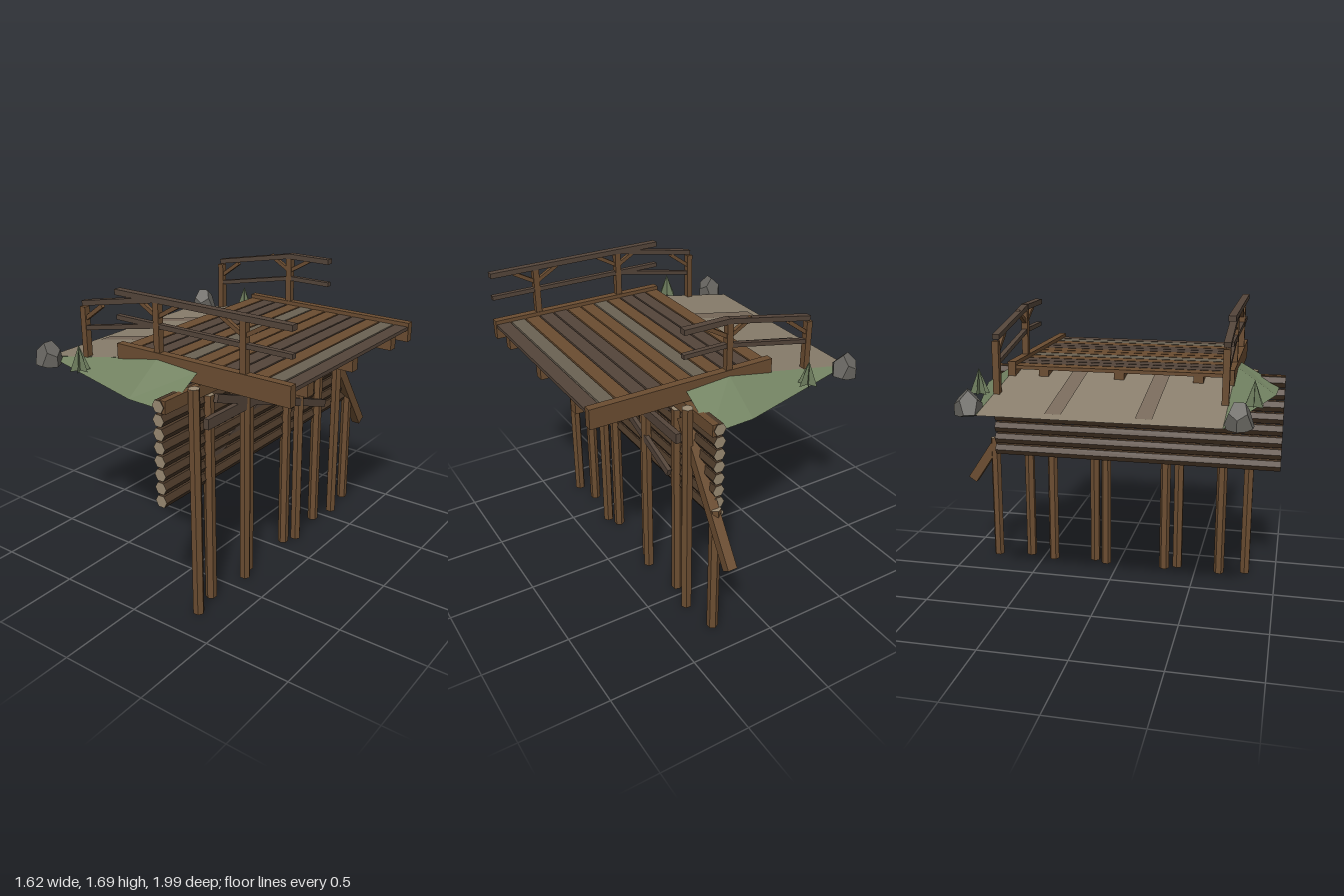
import * as THREE from 'three';

const mat = (color, extra = {}) => new THREE.MeshStandardMaterial({ color, flatShading: true, ...extra });
const sheet = { side: THREE.DoubleSide };
const wood = mat(0x6b4d31), darkWood = mat(0x54453a), shadeWood = mat(0x4a3828), greyWood = mat(0x6b6253);
const cutWood = mat(0x9a8a72), road = mat(0x8b806e, sheet), track = mat(0x7a6b5c);
const grass = mat(0x748463, sheet), stone = mat(0x66645f);

export function createModel() {
  const model = new THREE.Group();
  const add = (parent, name, geometry, material, x = 0, y = 0, z = 0) => {
    const mesh = new THREE.Mesh(geometry, material);
    mesh.name = name;
    mesh.position.set(x, y, z);
    parent.add(mesh);
    return mesh;
  };
  const group = (name) => {
    const g = new THREE.Group();
    g.name = name;
    model.add(g);
    return g;
  };
  const box = (parent, name, w, h, d, x, y, z, material = wood) =>
    add(parent, name, new THREE.BoxGeometry(w, h, d), material, x, y, z);
  // square timber between two points
  const beam = (parent, name, a, b, w, d, material = wood) => {
    const p = new THREE.Vector3(...a), q = new THREE.Vector3(...b);
    const mesh = box(parent, name, w, d, p.distanceTo(q), 0, 0, 0, material);
    mesh.position.copy(p).add(q).multiplyScalar(0.5);
    mesh.lookAt(q);
  };
  const hexLog = (r, length, turn = Math.PI / 6) => new THREE.CylinderGeometry(r, r, length, 6, 1, false, turn);
  const quads = (...corners) => {
    const g = new THREE.BufferGeometry();
    const pos = [];
    for (const [a, b, c, d] of corners) pos.push(...a, ...b, ...c, ...a, ...c, ...d);
    g.setAttribute('position', new THREE.Float32BufferAttribute(pos, 3));
    g.computeVertexNormals();
    return g;
  };

  // embankment, an open sheet: stations of x, road height, shoulder spread
  const midZ = 0.105, halfRoad = 0.625, base = 1.22;
  const stations = [[-0.81, 1.221, 0], [0, 1.372, 0.225], [0.265, 1.355, 0.238]];
  const bank = group('embankment');
  const top = [], slopes = [];
  for (let i = 0; i < 2; i++) {
    const ring = ([x, y, s]) => [
      [x, base, midZ + halfRoad + s], [x, y, midZ + halfRoad],
      [x, y, midZ - halfRoad], [x, base, midZ - halfRoad - s]];
    const a = ring(stations[i]), b = ring(stations[i + 1]);
    slopes.push([a[0], b[0], b[1], a[1]], [a[2], b[2], b[3], a[3]]);
    top.push([a[1], b[1], b[2], a[2]]);
  }
  add(bank, 'roadSurface', quads(...top), road);
  add(bank, 'grassShoulders', quads(...slopes), grass);
  for (const z of [-0.13, 0.335]) {
    const y = (x) => 1.376 + x * 0.186;
    add(bank, 'wheelTrack', quads([[-0.755, y(-0.755), z + 0.043], [0, y(0), z + 0.043],
      [0, y(0), z - 0.043], [-0.755, y(-0.755), z - 0.043]]), track);
  }

  // stacked log retaining wall with a cap beam along the top log
  const wall = group('retainingWall');
  for (let i = 0; i < 8; i++)
    add(wall, 'wallLog' + (i + 1), hexLog(0.036, 1.79).rotateX(Math.PI / 2),
      [shadeWood, cutWood, cutWood], 0.23, 1.25 - i * 0.073, 0.105);
  box(wall, 'capBeam', 0.035, 0.068, 1.78, 0.255, 1.25, 0.105);

  // two rows of piles with bracing
  const piles = group('piles');
  const pile = (x, z, h, turn) =>
    add(piles, 'pile', hexLog(0.032, h, turn), [wood, cutWood, cutWood], x, h / 2, z);
  for (const z of [0.81, 0.38, -0.16, -0.595]) pile(0.3, z, 1.3);
  for (const z of [0.65, 0.3, -0.08, -0.43]) pile(0.262, z, 1.21, 0);
  pile(0.262, -0.81, 0.8, 0);
  box(piles, 'crossBeam', 0.03, 0.058, 1.25, 0.308, 1.083, 0.105, darkWood);
  beam(piles, 'diagonalBrace', [0.312, 1.2, 0.65], [0.312, 0.82, -0.43], 0.025, 0.045, darkWood);
  beam(piles, 'innerDiagonalBrace', [0.24, 0.82, 0.65], [0.24, 1.2, -0.43], 0.025, 0.045, darkWood);
  beam(piles, 'outerStrut', [0.268, 1.2, -0.51], [0.268, 0.513, -0.97], 0.055, 0.06);

  // deck: planks on three joists
  const deck = group('deck');
  const tones = [wood, darkWood, darkWood, wood, greyWood, wood, wood, darkWood, darkWood, wood, greyWood, darkWood];
  tones.forEach((tone, i) => box(deck, 'plank', 0.08, 0.02, 1.2, -0.225 + i * 0.09, 1.37, 0.11, tone));
  for (const z of [0.545, 0.11, -0.32]) box(deck, 'joist', 1.06, 0.07, 0.055, 0.27, 1.325, z);

  // side beams and railings: the back railing breaks off after its first post
  const sides = [
    { name: 'frontRailing', z: 0.715, from: -0.27, to: 0.81, posts: [0, 0.535] },
    { name: 'backRailing', z: -0.503, from: 0, to: 0.275, posts: [0] }];
  for (const { name, z, from, to, posts } of sides) {
    box(deck, 'sideBeam', 1.08, 0.11, 0.045, 0.27, 1.347, z);
    const rail = group(name);
    const mid = (from + to) / 2, length = to - from;
    box(rail, 'topRail', length, 0.03, 0.042, mid, 1.676, z, darkWood);
    box(rail, 'midRail', length, 0.025, 0.03, mid, 1.541, z, darkWood);
    beam(rail, 'slopedTopRail', [-0.515, 1.577, z], [0, 1.675, z], 0.038, 0.028, darkWood);
    beam(rail, 'slopedMidRail', [-0.5, 1.442, z], [0, 1.54, z], 0.028, 0.024, darkWood);
    box(rail, 'endPost', 0.036, 0.36, 0.036, -0.515, 1.377, z);
    beam(rail, 'endKnee', [-0.5, 1.495, z], [-0.38, 1.582, z], 0.022, 0.022);
    for (const x of posts) {
      box(rail, 'post', 0.036, 0.36, 0.036, x, 1.48, z);
      for (const s of [-1, 1])
        beam(rail, 'kneeBrace', [x + s * 0.012, 1.592, z], [x + s * 0.135, 1.662, z], 0.022, 0.022);
    }
  }

  // dome-shaped boulders with flat bottoms, and crossed-blade shrubs
  const dressing = group('dressing');
  for (const [z, turn] of [[-0.585, 0.4], [0.8, 1.5]]) {
    const g = new THREE.DodecahedronGeometry(0.078).rotateY(turn);
    const p = g.attributes.position;
    for (let i = 0; i < p.count; i++) p.setY(i, Math.max(p.getY(i) * 1.65, -0.012));
    g.computeVertexNormals();
    add(dressing, 'boulder', g, stone, -0.735, 1.218, z);
  }
  const blade = new THREE.Shape([[-0.055, 0], [0.055, 0], [0, 0.14]].map((p) => new THREE.Vector2(...p)));
  for (const z of [-0.635, 0.855])
    for (let i = 0; i < 3; i++)
      add(dressing, 'shrubBlade', new THREE.ShapeGeometry(blade), grass, -0.435, 1.25, z).rotation.y = i * Math.PI / 3;

  return model;
}
